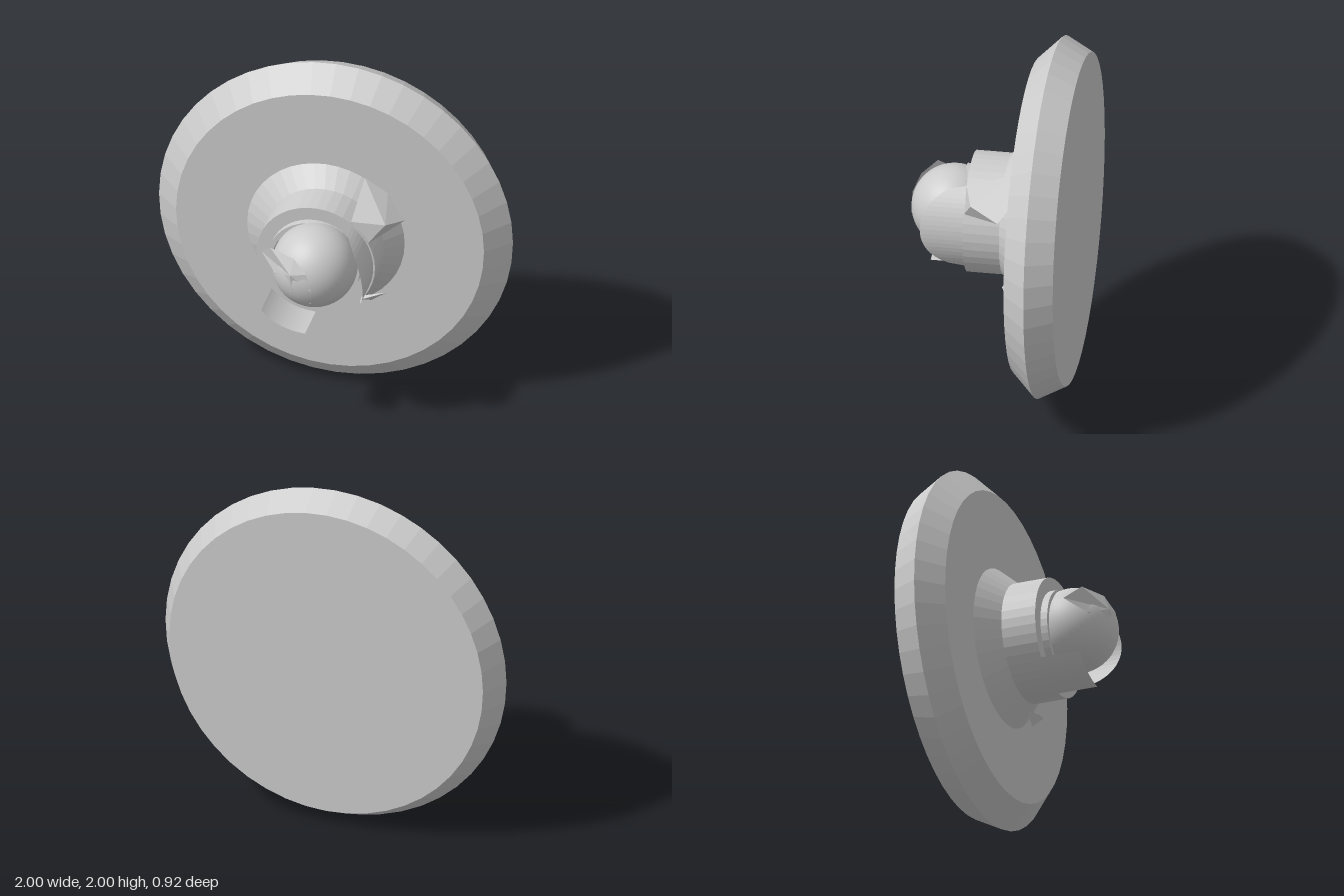
import * as THREE from 'three';

const solid = new THREE.MeshStandardMaterial({ color: 0xcccccc, flatShading: true });
const smooth = new THREE.MeshStandardMaterial({ color: 0xcccccc });
const thin = new THREE.MeshStandardMaterial({ color: 0xcccccc, flatShading: true, side: THREE.DoubleSide });

// Mesh made of rings [radius, z, x offset, y offset], listed from back to front
function turned(name, rings, segments) {
  const pos = [], index = [];
  for (const [r, z, dx = 0, dy = 0] of rings) {
    for (let i = 0; i < segments; i++) {
      const a = (i / segments) * Math.PI * 2;
      pos.push(dx + r * Math.cos(a), 1 + dy + r * Math.sin(a), z);
    }
  }
  for (let j = 0; j < rings.length - 1; j++) {
    for (let i = 0; i < segments; i++) {
      const k = (i + 1) % segments;
      const a = j * segments + i, b = j * segments + k, c = a + segments, d = b + segments;
      index.push(a, b, d, a, d, c);
    }
  }
  return surface(name, pos, index, solid);
}

function surface(name, pos, index, material) {
  const g = new THREE.BufferGeometry();
  g.setAttribute('position', new THREE.Float32BufferAttribute(pos, 3));
  g.setIndex(index);
  g.computeVertexNormals();
  const mesh = new THREE.Mesh(g, material);
  mesh.name = name;
  return mesh;
}

// Fan of triangles around the first point
function shard(name, points) {
  const index = [];
  for (let i = 1; i < points.length - 1; i++) index.push(0, i, i + 1);
  return surface(name, points.flat(), index, thin);
}

// Curved petal standing on the collar; depth(t) gives its front edge
function petal(name, from, to, radius, depth) {
  const n = 20, pos = [], index = [];
  for (let i = 0; i <= n; i++) {
    const t = i / n, a = THREE.MathUtils.degToRad(from + (to - from) * t);
    for (const z of [0.1, depth(t)]) pos.push(radius * Math.cos(a), 1 + radius * Math.sin(a), z);
    if (i < n) index.push(2 * i, 2 * i + 2, 2 * i + 3, 2 * i, 2 * i + 3, 2 * i + 1);
  }
  return surface(name, pos, index, thin);
}

export function createModel() {
  const model = new THREE.Group();

  // Bevelled back disc
  model.add(turned('disc', [[0, -0.46], [0.92, -0.46], [1, -0.31], [0.87, -0.18], [0, -0.18]], 48));

  // Flared collar with a stepped, recessed front
  model.add(turned('collar', [
    [0.455, -0.19, -0.025, -0.02], [0.335, -0.07], [0.335, 0.13],
    [0.26, 0.13], [0.26, 0.17], [0.235, 0.17], [0.235, 0.05], [0, 0.05],
  ], 40));

  // Round ball held in the collar
  const ball = new THREE.Mesh(new THREE.SphereGeometry(0.235, 48, 32), smooth);
  ball.name = 'ball';
  ball.position.set(0.02, 1.035, 0.225);
  model.add(ball);

  // Standing petals
  model.add(petal('rightPetal', -38, 56, 0.325, t => 0.12 + 0.25 * Math.sqrt(Math.sin(Math.PI * t))));
  model.add(petal('lowerPetal', 222, 270, 0.335, () => 0.36));

  // Leaf lying over the ball, its tip sticking out
  model.add(shard('leaf', [
    [-0.06, 1.09, 0.455], [-0.27, 1.1, 0.27], [-0.2, 1.185, 0.35], [-0.05, 1.18, 0.42],
    [0.03, 1.11, 0.455], [0.06, 1.0, 0.458], [0.05, 0.9, 0.42], [-0.06, 0.97, 0.44],
    [-0.17, 1.04, 0.37], [-0.27, 1.1, 0.27],
  ]));

  // Torn piece peeling off the collar
  const tip = [0.45, 1.2, -0.08], fold = [0.38, 1.255, 0.08], root = [0.2, 1.28, 0.13];
  model.add(shard('tornFlap', [fold, root, [0.2, 1.38, -0.17], [0.33, 1.3, -0.17], tip]));
  model.add(shard('tornFlapUnderside', [[0.29, 1.15, 0.13], root, fold, tip, [0.34, 1.13, -0.08]]));

  // Small lip at the foot of the collar
  model.add(shard('lowerLip', [
    [0.06, 0.63, -0.08], [0.25, 0.62, -0.13], [0.34, 0.7, -0.1], [0.22, 0.66, -0.07],
  ]));
  return model;
}
